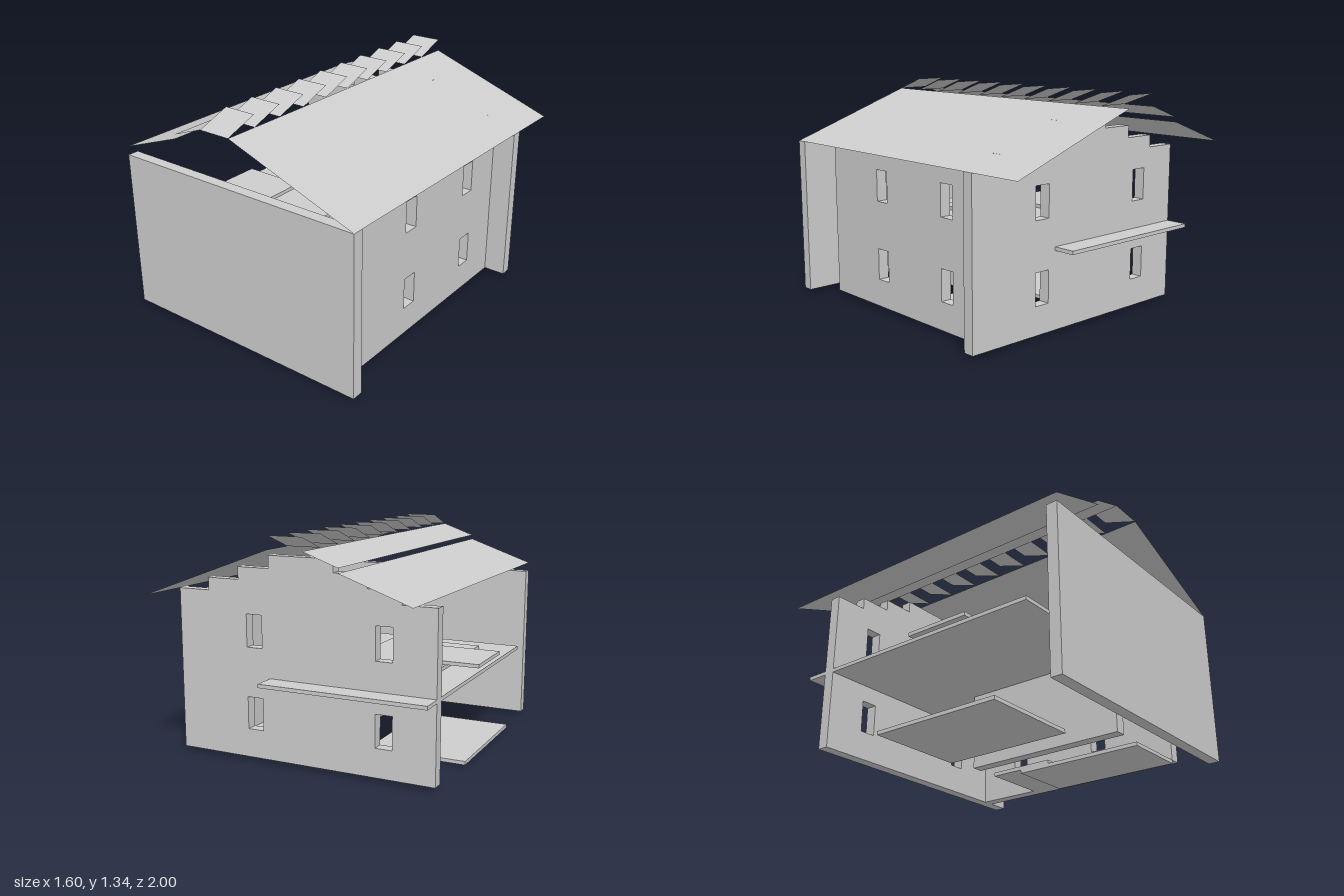
import * as THREE from 'three';

export function createModel() {
  const model = new THREE.Group();
  model.name = 'sectionedHouse';
  const card = new THREE.MeshStandardMaterial({ color: 0xcccccc, side: THREE.DoubleSide });
  card.name = 'grey card';
  const T = 0.067; // wall thickness
  const S = 0.022; // slab thickness

  function add(name, geometry) {
    const mesh = new THREE.Mesh(geometry, card);
    mesh.name = name;
    model.add(mesh);
    return mesh;
  }

  // Box given by its two extreme corners
  function block(name, x0, x1, y0, y1, z0, z1) {
    const g = new THREE.BoxGeometry(x1 - x0, y1 - y0, z1 - z0);
    g.translate((x0 + x1) / 2, (y0 + y1) / 2, (z0 + z1) / 2);
    return add(name, g);
  }

  // Wall outline with two storeys of windows, extruded by the wall thickness
  function wallGeometry(outline, windowCentres) {
    const shape = new THREE.Shape(outline.map(([u, v]) => new THREE.Vector2(u, v)));
    for (const u of windowCentres) {
      for (const v of [0.19, 0.67]) {
        const hole = new THREE.Path();
        hole.moveTo(u - 0.05, v);
        hole.lineTo(u - 0.05, v + 0.19);
        hole.lineTo(u + 0.05, v + 0.19);
        hole.lineTo(u + 0.05, v);
        hole.closePath();
        shape.holes.push(hole);
      }
    }
    return new THREE.ExtrudeGeometry(shape, { depth: T, bevelEnabled: false });
  }

  // Paper-thin sheet from four corners in order
  function sheet(name, a, b, c, d) {
    const g = new THREE.BufferGeometry();
    g.setAttribute('position', new THREE.Float32BufferAttribute([...a, ...b, ...c, ...d], 3));
    g.setIndex([0, 1, 2, 0, 2, 3]);
    g.computeVertexNormals();
    return add(name, g);
  }

  // Roof strip running the whole length, from (x0, y0) to (x1, y1)
  const roofStrip = (name, x0, y0, x1, y1) =>
    sheet(name, [x0, y0, 1], [x1, y1, 1], [x1, y1, -1], [x0, y0, -1]);

  // Walls
  block('frontWall', -0.8, 0.8, S, 0.98, 1 - T, 1);

  const steps = [[0.8, 0.98], [0.6, 0.98], [0.6, 1.053], [0.4, 1.053], [0.4, 1.125], [0.2, 1.125], [0.2, 1.198]];
  const gable = [[-0.8, S], [0.8, S], ...steps, ...steps.map(([x, y]) => [-x, y]).reverse()];
  add('backWall', wallGeometry(gable, [0.3, -0.5]).translate(0, 0, -0.6 - T));

  const side = [[-0.8, S], [0.6, S], [0.6, 0.98], [-0.8, 0.98]];
  add('rightWall', wallGeometry(side, [-0.3, 0.3]).rotateY(Math.PI / 2).translate(0.6, 0, 0));

  block('innerWall', 0, T, S, 0.48, -0.2, 0.8);
  block('innerShelf', T, 0.2, 0.267, 0.311, 0.2, 0.6);

  // Ground floor slabs
  block('groundSlabRight', 0.2, 0.6, 0, S, 0, 0.8);
  block('groundSlabLeft', -0.8, -0.2, 0, S, -0.2, 0.6);
  block('groundStep', 0.2, 0.6, S, 2 * S, -0.2, 0.2);

  // Upper floor, running through the back wall as a balcony, with raised platforms
  block('upperFloor', -0.8, 0.2, 0.48, 0.502, -0.8, 0.8);
  block('upperPlatform', -0.6, 0, 0.502, 0.524, -0.6, 0.6);
  block('upperStep', -0.8, -0.4, 0.524, 0.546, 0, 0.4);

  // Roof: one full right slope, a left slope in two offset strips
  roofStrip('rightRoof', 0, 1.27, 0.8, 0.98);
  roofStrip('leftLowerRoof', -0.8, 1.03, -0.4, 1.172);
  roofStrip('leftUpperRoof', -0.4, 1.198, -0.2, 1.27);

  // Row of tilted louvres along the ridge
  for (let i = 0; i < 10; i++) {
    const z = 1 - i * 0.2;
    sheet('ridgeLouvre', [-0.2, 1.27, z], [0, 1.27, z], [0, 1.342, z - 0.2], [-0.2, 1.342, z - 0.2]);
  }

  return model;
}
